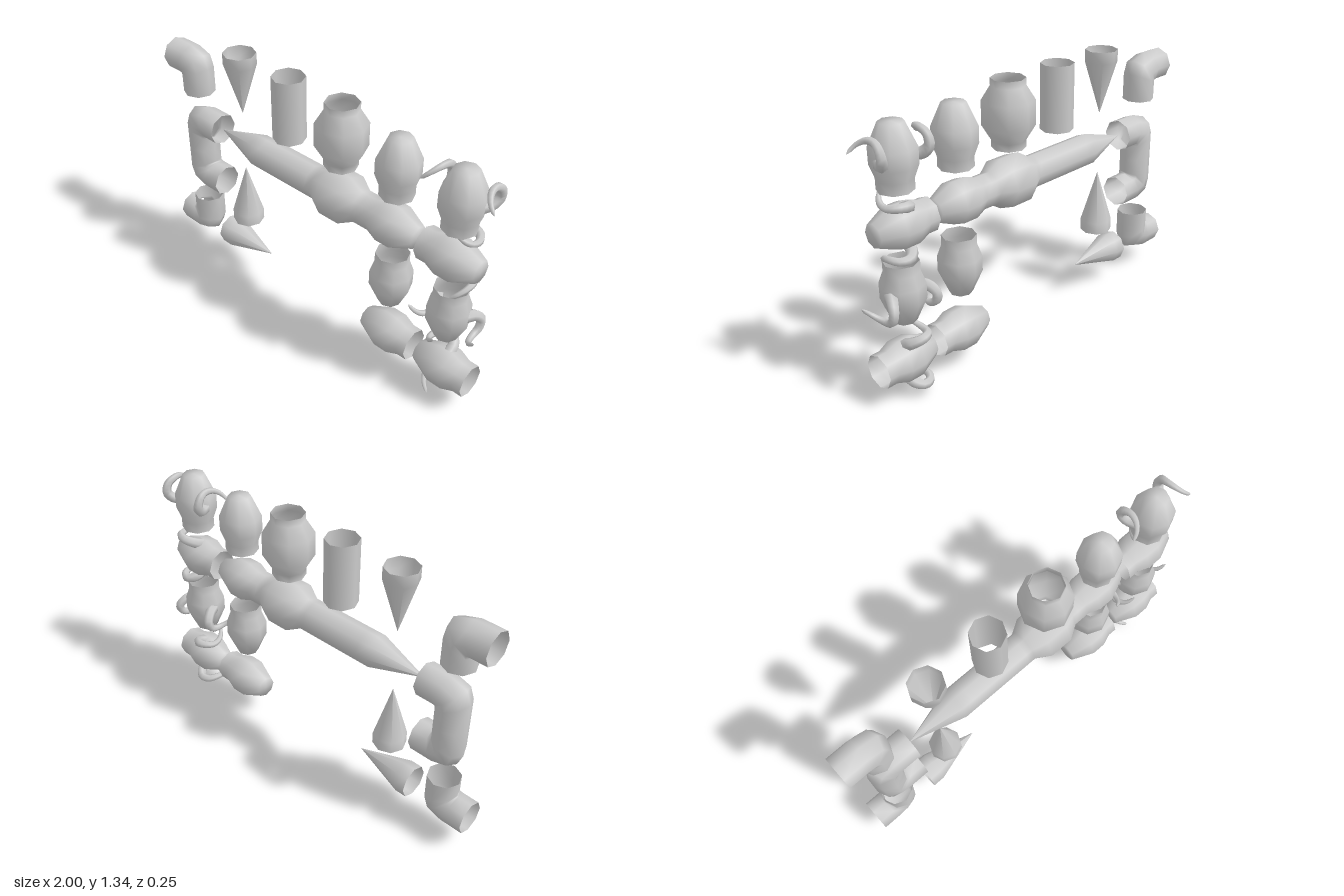
import * as THREE from 'three';

const SIDES = 8, R = 0.082, LEN = 0.33;
const material = new THREE.MeshStandardMaterial({ color: 0xcccccc, side: THREE.DoubleSide });

// Turned profiles as [radius, distance along the axis]
const PROFILES = {
  point: [[R, 0], [R, 0.06], [0.001, LEN]],
  straight: [[R, 0], [R, LEN]],
  bulge: [[R, 0], [R, 0.035], [0.125, 0.105], [0.125, 0.225], [R, 0.295], [R, LEN]],
  head: [[R, 0], [R, 0.05], [0.104, 0.11], [0.104, 0.187], [0.056, 0.295], [0, 0.295]],
};

// Rotations about z that turn the +y axis of a piece
const UP = 0, DOWN = Math.PI, RIGHT = -Math.PI / 2, LEFT = Math.PI / 2;

function place(object, name, x, y, turn = UP) {
  object.name = name;
  object.position.set(x, y, 0);
  object.rotation.z = turn;
  return object;
}

function turned(kind) {
  const pts = PROFILES[kind].map(([r, t]) => new THREE.Vector2(r, t));
  return new THREE.Mesh(new THREE.LatheGeometry(pts, SIDES), material);
}

// Bent pipe: each ring spans from an inner to an outer point in the xy plane
function elbowGeometry() {
  const rings = [
    [-0.163, -R, -0.163, R],
    [-0.088, -R, -0.035, R],
    [-0.08, -0.08, 0.056, 0.052],
    [-R, -0.088, R, -0.015],
    [-R, -0.1635, R, -0.1635],
  ];
  const pos = [], index = [];
  rings.forEach(([ax, ay, bx, by], k) => {
    for (let i = 0; i < SIDES; i++) {
      const a = (i / SIDES) * Math.PI * 2, c = Math.cos(a) / 2;
      pos.push((ax + bx) / 2 + (bx - ax) * c, (ay + by) / 2 + (by - ay) * c, R * Math.sin(a));
      if (k === 0) continue;
      const j = (i + 1) % SIDES, p = (k - 1) * SIDES, q = k * SIDES;
      index.push(p + i, q + i, p + j, p + j, q + i, q + j);
    }
  });
  const g = new THREE.BufferGeometry();
  g.setAttribute('position', new THREE.Float32BufferAttribute(pos, 3));
  g.setIndex(index);
  g.computeVertexNormals();
  return g;
}

// Curled horn: a tube that tapers along its path
function hornGeometry() {
  const curve = new THREE.CatmullRomCurve3([
    [0.08, 0.14, -0.015], [0.102, 0.145, -0.055], [0.12, 0.18, -0.085],
    [0.122, 0.225, -0.072], [0.118, 0.246, -0.035], [0.127, 0.244, 0.008],
    [0.15, 0.222, 0.042], [0.182, 0.19, 0.058],
  ].map((p) => new THREE.Vector3(...p)));
  const steps = 18, radial = 6, base = 0.031;
  const g = new THREE.TubeGeometry(curve, steps, base, radial);
  const pos = g.attributes.position, v = new THREE.Vector3();
  for (let i = 0; i < pos.count; i++) {
    const t = Math.floor(i / (radial + 1)) / steps;
    const keep = t === 1 ? 0.05 : 1 - 0.75 * t;
    v.fromBufferAttribute(pos, i).lerp(curve.getPointAt(t), 1 - keep);
    pos.setXYZ(i, v.x, v.y, v.z);
  }
  return g;
}

export function createModel() {
  const model = new THREE.Group();
  model.name = 'pipeSet';

  // Elbows, and two of them joined as a return bend
  const elbow = elbowGeometry();
  for (const [name, x, y, sx, sy] of [
    ['upperElbow', -0.836, 1.178, 1, 1],
    ['returnBendTop', -0.836, 0.845, -1, 1],
    ['returnBendBottom', -0.836, 0.518, -1, -1],
    ['lowerElbow', -0.836, 0.19, 1, -1],
  ]) {
    const mesh = place(new THREE.Mesh(elbow, material), name, x, y);
    mesh.scale.set(sx, sy, 1);
    model.add(mesh);
  }

  // Turned pieces
  for (const [kind, name, x, y, turn] of [
    ['point', 'pointDown', -0.508, 1.346, DOWN],
    ['point', 'pointUp', -0.508, 0.352, UP],
    ['point', 'pointRight', -0.67, 0.19, RIGHT],
    ['straight', 'straightPipe', -0.178, 1.015, UP],
    ['bulge', 'bulgePipe', 0.153, 1.015, UP],
    ['head', 'headUp', 0.481, 1.015, UP],
    ['head', 'headDown', 0.481, 0.682, DOWN],
    ['head', 'headLeft', 0.646, 0.19, LEFT],
    // Long assembled piece
    ['point', 'longPoint', -0.34, 0.845, LEFT],
    ['straight', 'longStraight', -0.34, 0.845, RIGHT],
    ['bulge', 'longBulge', -0.01, 0.845, RIGHT],
    ['head', 'longHead', 0.32, 0.845, RIGHT],
  ]) model.add(place(turned(kind), name, x, y, turn));

  // Horned heads
  const horn = hornGeometry();
  for (const [name, x, y, turn] of [
    ['hornedHeadUp', 0.815, 1.015, UP],
    ['hornedHeadRight', 0.65, 0.845, RIGHT],
    ['hornedHeadDown', 0.815, 0.682, DOWN],
    ['hornedHeadLeft', 0.977, 0.187, LEFT],
  ]) {
    const group = place(new THREE.Group(), name, x, y, turn);
    const head = turned('head');
    head.name = 'head';
    group.add(head);
    for (const side of [1, -1]) {
      const mesh = new THREE.Mesh(horn, material);
      mesh.name = side > 0 ? 'hornA' : 'hornB';
      mesh.scale.x = side;
      group.add(mesh);
    }
    model.add(group);
  }
  return model;
}
